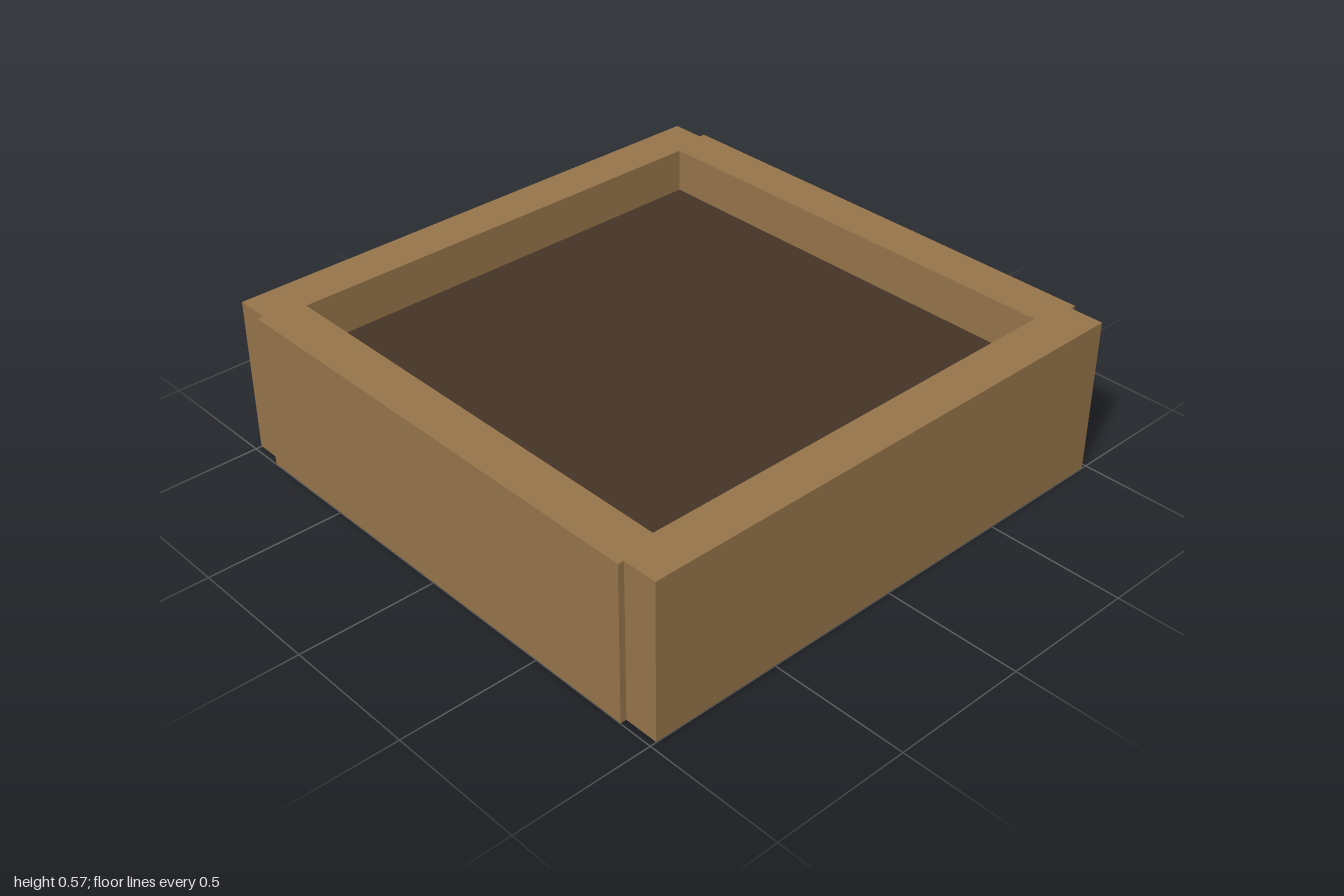
import * as THREE from 'three';

export function createModel() {
  const group = new THREE.Group();
  const wood = new THREE.MeshStandardMaterial({ color: 0x96754a });
  const soil = new THREE.MeshStandardMaterial({ color: 0x463426 });

  const height = 0.575, inner = 0.837, thick = 1 - inner;
  const lift = 0.002; // keeps the soil underside clear of the wall undersides

  function addBox(name, material, width, depth, bottom, top, x, z) {
    const mesh = new THREE.Mesh(new THREE.BoxGeometry(width, top - bottom, depth), material);
    mesh.name = name;
    mesh.position.set(x, (bottom + top) / 2, z);
    group.add(mesh);
  }

  // Four planks, the front and back ones overlapping the ends of the side ones
  const centre = inner + thick / 2;
  for (const s of [1, -1]) {
    addBox(s > 0 ? 'frontWall' : 'backWall', wood, 1.956, thick, lift, height, 0, s * centre);
    addBox(s > 0 ? 'leftWall' : 'rightWall', wood, thick, 1.75, lift, height, s * centre, 0);
  }

  // Soil filling, its edges tucked into the planks
  addBox('soil', soil, 1.76, 1.76, 0, 0.412, 0, 0);

  return group;
}
